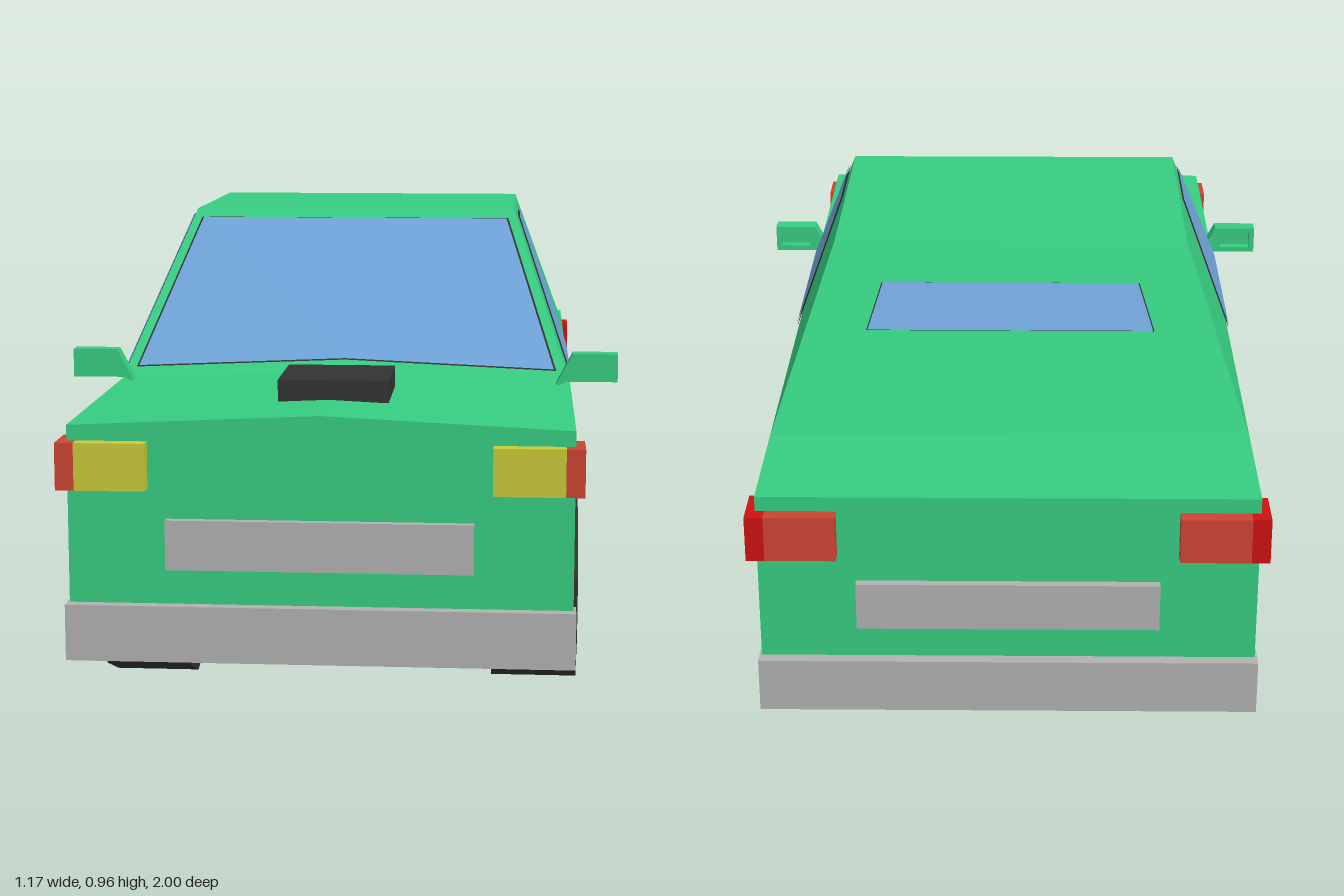
import * as THREE from 'three';
import { mergeGeometries } from 'three/addons/utils/BufferGeometryUtils.js';

const mat = (color, side = THREE.FrontSide) =>
  new THREE.MeshStandardMaterial({ color, side, flatShading: true });
const M = {
  green: mat(0x37cc80), glass: mat(0x6fa3d8, THREE.DoubleSide), dark: mat(0x333333),
  trim: mat(0x333333, THREE.DoubleSide), grey: mat(0xb0b0b0), spoke: mat(0x999999),
  yellow: mat(0xc8c838), amber: mat(0xcc4433), red: mat(0xcc1111),
};

// Wheel centres and main body sizes
const AXLES = [0.495, -0.545], W = 0.485, END = 0.97, FLOOR = 0.16, BELT = 0.612;

function add(parent, name, geometry, material) {
  const mesh = new THREE.Mesh(geometry, material);
  mesh.name = name;
  parent.add(mesh);
  return mesh;
}

// Box given by its minimum and maximum on each axis
function box(parent, name, material, x0, x1, y0, y1, z0, z1) {
  const g = new THREE.BoxGeometry(Math.abs(x1 - x0), y1 - y0, Math.abs(z1 - z0));
  g.translate((x0 + x1) / 2, (y0 + y1) / 2, (z0 + z1) / 2);
  return add(parent, name, g, material);
}

const shapeOf = (pts) => new THREE.Shape(pts.map(([x, y]) => new THREE.Vector2(x, y)));
const extrude = (shape, depth) =>
  new THREE.ExtrudeGeometry(shape, { depth, bevelEnabled: false });

// Flat face from a fan of corners, counter-clockwise from outside
function fan(pts) {
  const pos = [];
  for (let i = 1; i < pts.length - 1; i++) pos.push(...pts[0], ...pts[i], ...pts[i + 1]);
  const g = new THREE.BufferGeometry();
  g.setAttribute('position', new THREE.Float32BufferAttribute(pos, 3));
  g.computeVertexNormals();
  return g;
}
const mirror = (pts) => pts.map(([x, y, z]) => [-x, y, z]).reverse();

// Glass pane with a thin dark border, lifted off the cabin along n
function pane(parent, name, pts, n, grow = 1.02) {
  const c = [0, 1, 2].map((k) => pts.reduce((s, p) => s + p[k], 0) / pts.length);
  const border = pts.map((p) => p.map((v, k) => c[k] + (v - c[k]) * grow));
  const normal = new THREE.Vector3(...n).normalize();
  const lift = (g, d) => g.translate(normal.x * d, normal.y * d, normal.z * d);
  add(parent, name + 'Border', lift(fan(border), 0.004), M.trim);
  add(parent, name, lift(fan(pts), 0.007), M.glass);
}

// Side profile slab between x0 and x1, with wheel arches inset by `inset`
function bodySlab(x0, x1, inset) {
  const pts = [[END, FLOOR], [END, BELT], [-END, BELT], [-END, FLOOR]];
  if (inset !== null) {
    const r = 0.22 - inset, m = 0.145 - inset * 0.6;
    for (const z of [...AXLES].reverse()) {
      pts.push([z - r, FLOOR], [z - r, 0.28], [z - m, 0.41 - inset], [z, 0.455 - inset],
        [z + m, 0.41 - inset], [z + r, 0.28], [z + r, FLOOR]);
    }
  }
  return extrude(shapeOf(pts), x1 - x0).rotateY(-Math.PI / 2).translate(x1, 0, 0);
}

function makeWheel() {
  const wheel = new THREE.Group();
  wheel.name = 'wheel';
  const w = 0.0875, R = 0.208;
  const profile = [[0, -w], [R, -w], [R, w], [0.165, w], [0.165, w - 0.025], [0, w - 0.025]]
    .map(([x, y]) => new THREE.Vector2(x, y));
  const tyre = new THREE.LatheGeometry(profile, 10, Math.PI / 2 + 0.05).rotateZ(-Math.PI / 2);
  add(wheel, 'tyre', tyre, M.dark);
  // Six spokes that widen outward
  const spokes = [];
  for (let i = 0; i < 6; i++) {
    const s = shapeOf([[0, -0.022], [0.05, -0.02], [0.157, -0.042], [0.157, 0.042], [0.05, 0.02], [0, 0.022]]);
    spokes.push(extrude(s, 0.012).rotateZ(1.3 + i * Math.PI / 3)
      .rotateY(Math.PI / 2).translate(w - 0.025, 0, 0));
  }
  add(wheel, 'spokes', mergeGeometries(spokes), M.spoke);
  return wheel;
}

function makeMirror(side) {
  const outline = [[0.45, 0.605], [0.475, 0.62], [0.585, 0.62], [0.585, 0.68], [0.49, 0.68]];
  const hole = [[0.503, 0.632], [0.503, 0.668], [0.573, 0.668], [0.573, 0.632]];
  const flip = (pts) => pts.map(([x, y]) => [side * x, y]);
  const rim = shapeOf(flip(outline));
  rim.holes.push(shapeOf(flip(hole)));
  return mergeGeometries([
    extrude(rim, 0.02).translate(0, 0, 0.362),
    extrude(shapeOf(flip(outline)), 0.018).translate(0, 0, 0.382),
  ]);
}

export function createModel() {
  const car = new THREE.Group();
  car.name = 'car';

  // Lower body: solid core plus arched side slabs
  const slabs = [bodySlab(-0.3, 0.3, null)];
  for (const [a, b, inset] of [[0.3, 0.455, 0.028], [0.455, W, 0]]) {
    slabs.push(bodySlab(a, b, inset), bodySlab(-b, -a, inset));
  }
  add(car, 'body', mergeGeometries(slabs), M.green);

  // Hood with a shallow centre ridge
  const ridge = shapeOf([[-W, BELT], [W, BELT], [0, 0.635]]);
  add(car, 'hood', extrude(ridge, END - 0.36).translate(0, 0, 0.36), M.green);
  box(car, 'hoodScoop', M.dark, -0.1, 0.12, 0.63, 0.674, 0.56, 0.775);

  // Cabin
  const FL = [-W, BELT, 0.37], FR = [W, BELT, 0.37], FM = [0, 0.635, 0.37];
  const BL = [-W, BELT, -0.695], BR = [W, BELT, -0.695];
  const tfl = [-0.36, 0.96, 0.06], tfr = [0.36, 0.96, 0.06];
  const tbl = [-0.36, 0.96, -0.498], tbr = [0.36, 0.96, -0.498];
  const sideFace = [FR, BR, tbr, tfr];
  add(car, 'cabin', mergeGeometries([
    [FM, FR, tfr, tfl, FL], [BR, BL, tbl, tbr], [tfl, tfr, tbr, tbl], sideFace, mirror(sideFace),
  ].map(fan)), M.green);

  // Windows
  pane(car, 'windshield', [[0, 0.655, 0.351], [0.45, 0.635, 0.35], [0.343, 0.938, 0.08],
    [-0.343, 0.938, 0.08], [-0.45, 0.635, 0.35]], [0, 0.67, 0.75], 1.012);
  const sx = (y) => W - (y - BELT) * 0.125 / 0.348;
  const sideWindow = [[0.315, 0.628], [-0.143, 0.628], [-0.186, 0.943], [0.035, 0.943]]
    .map(([z, y]) => [sx(y), y, z]);
  pane(car, 'leftWindow', sideWindow, [0.94, 0.34, 0]);
  pane(car, 'rightWindow', mirror(sideWindow), [-0.94, 0.34, 0]);
  const bz = (y) => -0.695 + (y - BELT) * 0.197 / 0.348;
  pane(car, 'rearWindow', [[0.29, 0.8], [-0.29, 0.8], [-0.26, 0.885], [0.26, 0.885]]
    .map(([x, y]) => [x, y, bz(y)]), [0, 0.49, -0.87], 1.01);

  // Bumpers and panels at both ends
  for (const [name, e] of [['front', 1], ['rear', -1]]) {
    box(car, name + 'Bumper', M.grey, -0.49, 0.49, 0.155, 0.265, e * 0.938, e * 0.995);
    box(car, name + 'Panel', M.grey, -0.295, 0.295, 0.335, 0.432, e * 0.96, e * 0.988);
  }

  for (const s of [1, -1]) {
    const side = s > 0 ? 'left' : 'right';
    // Lamps wrapping around each corner
    box(car, side + 'Headlight', M.yellow, s * 0.33, s * 0.467, 0.49, 0.582, 0.96, 1);
    box(car, side + 'TurnSignal', M.amber, s * 0.467, s * 0.503, 0.49, 0.582, 0.905, 1);
    box(car, side + 'TailLight', M.amber, s * 0.33, s * 0.467, 0.49, 0.582, -1, -0.96);
    box(car, side + 'TailLightCorner', M.red, s * 0.467, s * 0.503, 0.49, 0.582, -1, -0.905);
    box(car, side + 'DoorHandle', M.dark, s * 0.47, s * 0.5, 0.42, 0.502, -0.15, -0.118);
    add(car, side + 'Mirror', makeMirror(s), M.green);
    // Wheels
    AXLES.forEach((z, i) => {
      const wheel = makeWheel();
      wheel.name = side + (i ? 'RearWheel' : 'FrontWheel');
      wheel.position.set(s * 0.4025 + 0.01, 0.208, z);
      if (s < 0) wheel.rotation.y = Math.PI;
      car.add(wheel);
    });
  }
  return car;
}
